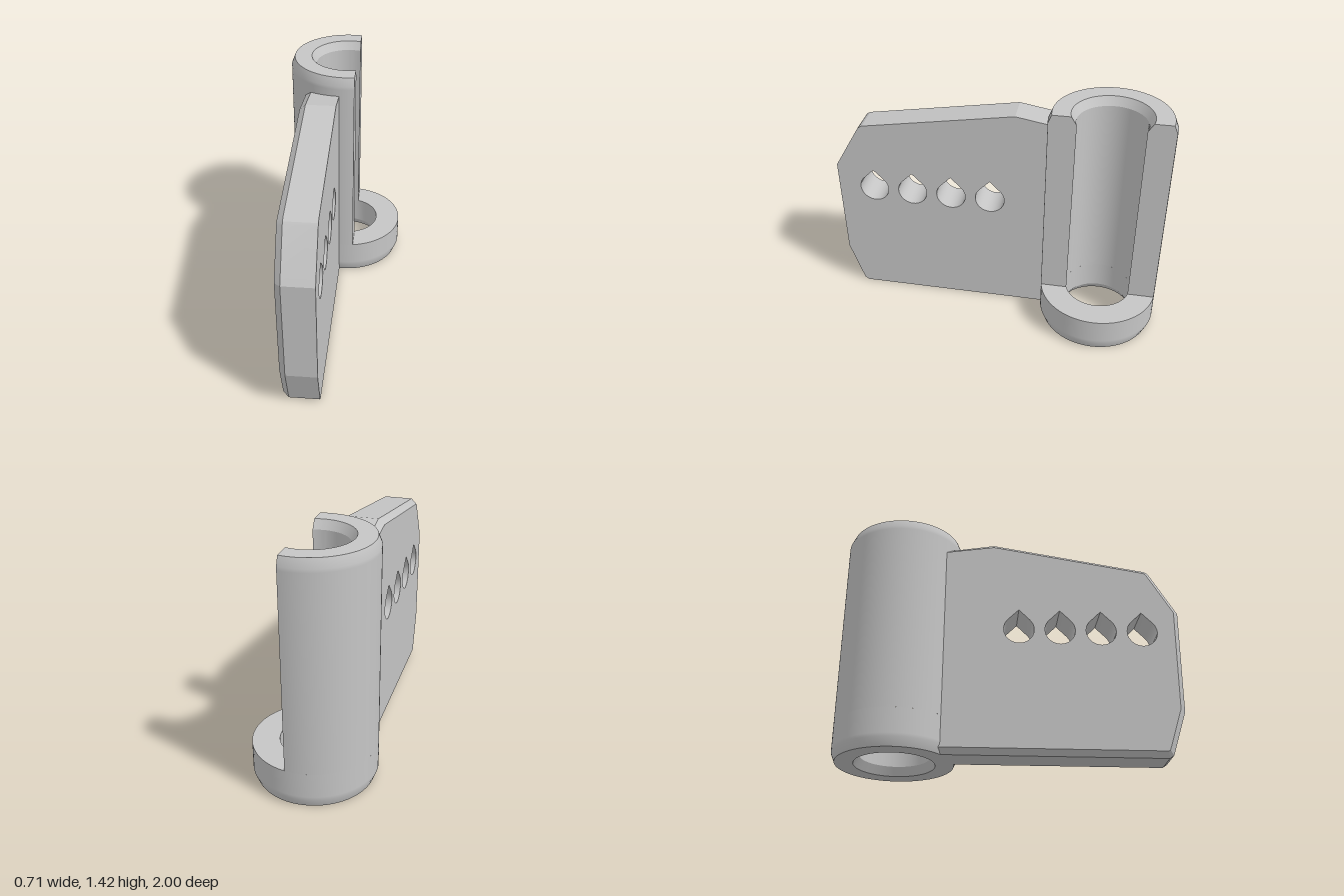
import * as THREE from 'three';
import { toCreasedNormals } from 'three/addons/utils/BufferGeometryUtils.js';

const R = 0.355, BORE = 0.2, RIM = 0.335, BORE_RIM = 0.23; // tube radii and chamfered rims
const BASE_H = 0.215, TOP = 1.42, CH = 0.05, SOFT = 0.02;
const CUT_X = 0.06, TUBE_Z = -0.645;
const V = (x, y) => new THREE.Vector2(x, y);

// Full ring at the foot of the tube, with a softly shaded outer chamfer
function baseRingGeometry() {
  const profile = [
    V(RIM, 0), V(R, CH), V(R, CH + SOFT), V(R, BASE_H),
    V(BORE, BASE_H), V(BORE, CH), V(BORE_RIM, 0), V(RIM, 0),
  ];
  return toCreasedNormals(new THREE.LatheGeometry(profile, 72), 0.42);
}

// Tube wall cut off by the flat plane x = CUT_X
const wall = [
  V(R, BASE_H), V(R, TOP - CH - SOFT), V(R, TOP - CH), V(RIM, TOP),
  V(BORE_RIM, TOP), V(BORE, TOP - CH), V(BORE, BASE_H),
];

function openTubeGeometry() {
  const seg = 56;
  const geo = new THREE.LatheGeometry(wall, seg, Math.PI, Math.PI);
  const pos = geo.attributes.position;
  for (let i = 0; i < pos.count; i++) {
    const r = wall[i % wall.length].x;
    const a = Math.asin(CUT_X / r);
    const phi = Math.PI - a + (Math.floor(i / wall.length) / seg) * (Math.PI + 2 * a);
    pos.setX(i, r * Math.sin(phi));
    pos.setZ(i, r * Math.cos(phi));
  }
  return toCreasedNormals(geo, 0.42);
}

// Flat wall section exposed by the cut
function cutFaceGeometry(side) {
  const pts = wall.map((p) => V(side * Math.sqrt(p.x * p.x - CUT_X * CUT_X), p.y));
  const geo = new THREE.ShapeGeometry(new THREE.Shape(pts));
  return geo.rotateY(Math.PI / 2).translate(CUT_X, 0, 0);
}

// Side plate, outlined in (z, y), with teardrop holes and one chamfered face
function plateGeometry() {
  const thick = 0.212, chamfer = 0.035, inset = 0.032;
  const outline = [
    V(-0.42, 0), V(0.88, 0), V(0.905, 0.018), V(0.99, 0.275), V(1, 0.9),
    V(0.846, 1.162), V(0.835, 1.175), V(0.815, 1.186), V(-0.1, 1.34), V(-0.42, 1.285),
  ];
  const n = outline.length;
  const shape = new THREE.Shape(outline);
  for (const z of [0.772, 0.53, 0.289, 0.048]) {
    const hole = new THREE.Path();
    const r = 0.089, y = 0.757;
    hole.absarc(z, y, r, Math.PI * 0.75, Math.PI * 2.25, false);
    hole.lineTo(z, y + r * Math.SQRT2);
    hole.closePath();
    shape.holes.push(hole);
  }

  // Mitred inset of the outline; the end buried in the tube stays put
  const insetPts = outline.map((p, i) => {
    const d1 = p.clone().sub(outline[(i + n - 1) % n]).normalize();
    const d2 = outline[(i + 1) % n].clone().sub(p).normalize();
    const m = V(-d1.y - d2.y, d1.x + d2.x).normalize();
    const q = p.clone().addScaledVector(m, inset / (m.x * -d1.y + m.y * d1.x));
    if (i === 0 || i === n - 1) q.x = p.x;
    return q;
  });

  const geo = new THREE.ExtrudeGeometry(shape, { depth: thick, steps: 2, bevelEnabled: false, curveSegments: 16 });
  const pos = geo.attributes.position;
  for (let i = 0; i < pos.count; i++) {
    const w = pos.getZ(i);
    if (w > thick * 0.75) {
      const k = outline.findIndex((p) => Math.hypot(p.x - pos.getX(i), p.y - pos.getY(i)) < 1e-4);
      if (k >= 0) pos.setXY(i, insetPts[k].x, insetPts[k].y);
    } else if (w > thick * 0.25) {
      pos.setZ(i, thick - chamfer);
    }
  }
  geo.rotateY(-Math.PI / 2).translate(-0.03, 0, 0);
  return toCreasedNormals(geo, 0.3);
}

export function createModel() {
  const grey = new THREE.MeshStandardMaterial({ color: 0xc5c5c5 });
  grey.name = 'lightGrey';
  const model = new THREE.Group();
  model.name = 'bracket';
  const add = (parent, name, geo) => {
    const mesh = new THREE.Mesh(geo, grey);
    mesh.name = name;
    parent.add(mesh);
  };

  const tube = new THREE.Group();
  tube.name = 'tube';
  tube.position.z = TUBE_Z;
  add(tube, 'baseRing', baseRingGeometry());
  add(tube, 'openTube', openTubeGeometry());
  add(tube, 'backCutFace', cutFaceGeometry(1));
  add(tube, 'frontCutFace', cutFaceGeometry(-1));
  model.add(tube);

  add(model, 'sidePlate', plateGeometry());
  return model;
}
